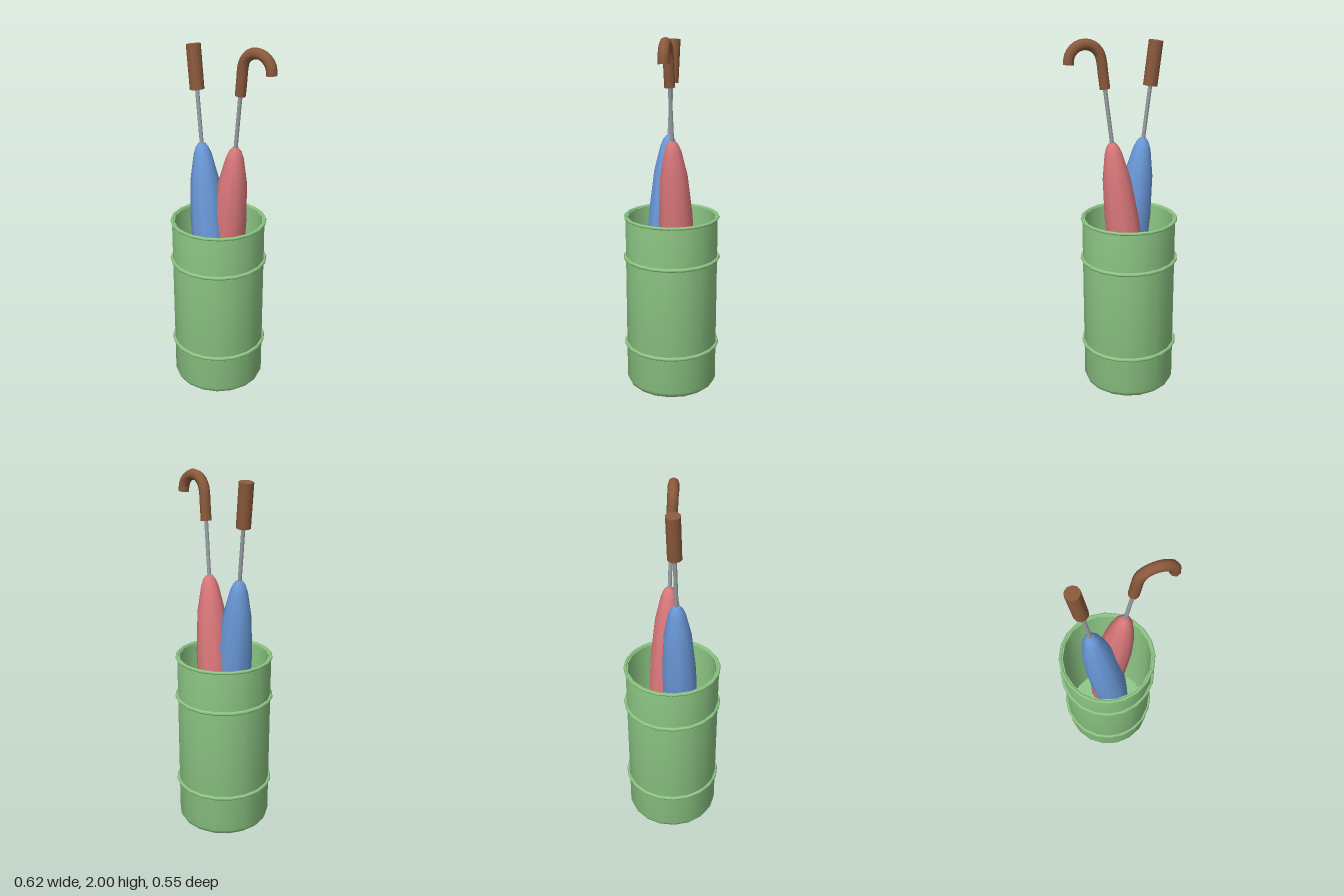
import * as THREE from 'three';
import { toCreasedNormals } from 'three/addons/utils/BufferGeometryUtils.js';

const material = (name, color) => {
  const m = new THREE.MeshStandardMaterial({ color });
  m.name = name;
  return m;
};

const lathe = (profile, sides, start = 0) => toCreasedNormals(
  new THREE.LatheGeometry(profile.map(([r, y]) => new THREE.Vector2(r, y)), sides, start), 0.75);

export function createModel() {
  const green = material('green enamel', 0x8fc986);
  const red = material('red fabric', 0xd9777a);
  const blue = material('blue fabric', 0x6a98d8);
  const brown = material('brown wood', 0x8b5a3c);
  const steel = material('grey steel', 0x9aa0a6);

  const add = (parent, name, geometry, mat, x = 0, y = 0, z = 0) => {
    const mesh = new THREE.Mesh(geometry, mat);
    mesh.name = name;
    mesh.position.set(x, y, z);
    parent.add(mesh);
    return mesh;
  };

  const model = new THREE.Group();
  model.name = 'umbrellaStand';

  // Hollow stand with a rounded foot, a rolled rim and two raised bands
  const stand = new THREE.Group();
  stand.name = 'stand';
  stand.position.x = -0.038;
  model.add(stand);
  add(stand, 'body', lathe([
    [0, 0.008], [0.218, 0.008], [0.222, 0], [0.237, 0], [0.252, 0.012], [0.262, 0.035],
    [0.262, 1.01], [0.248, 1.01], [0.248, 0.03], [0, 0.03],
  ], 18, Math.PI / 2), green);
  const ring = (name, y, radius, tube) => add(stand, name,
    new THREE.TorusGeometry(radius, tube, 6, 20).rotateX(Math.PI / 2), green, 0, y, 0);
  ring('rim', 1.009, 0.262, 0.009);
  ring('upperBand', 0.775, 0.265, 0.011);
  ring('lowerBand', 0.25, 0.265, 0.011);

  // Closed umbrella, built upright from its tip and then leaned sideways
  const canopyProfile = [
    [0, 0.1], [0.025, 0.1], [0.062, 0.25], [0.09, 0.45], [0.102, 0.68], [0.097, 1.0],
    [0.078, 1.23], [0.049, 1.37], [0.034, 1.41], [0.018, 1.43], [0, 1.432],
  ];
  const umbrella = (name, fabric, x, z, lean) => {
    const group = new THREE.Group();
    group.name = name;
    group.position.set(x, 0.03, z);
    group.rotation.z = lean;
    model.add(group);
    add(group, 'canopy', lathe(canopyProfile, 10), fabric);
    add(group, 'shaft', new THREE.CylinderGeometry(0.011, 0.011, 1.75, 8), steel, 0, 0.875, 0);
    return group;
  };
  const blueUmbrella = umbrella('blueUmbrella', blue, 0.05, 0.05, 0.12);
  const redUmbrella = umbrella('redUmbrella', red, -0.112, -0.042, -0.12);

  // Straight grip
  add(blueUmbrella, 'straightHandle',
    new THREE.CylinderGeometry(0.039, 0.039, 0.236, 10), brown, 0, 1.838, 0);

  // Crook grip: a short straight length followed by a half circle
  const crook = new THREE.Group();
  crook.name = 'crookHandle';
  crook.rotation.y = 0.26;
  redUmbrella.add(crook);
  const bend = 0.088, bendY = 1.875, grip = 0.029;
  const points = [new THREE.Vector3(0, 1.722, 0), new THREE.Vector3(0, 1.8, 0)];
  for (let i = 0; i <= 8; i++) {
    const a = Math.PI * (1 - i / 8);
    points.push(new THREE.Vector3(bend + bend * Math.cos(a), bendY + bend * Math.sin(a), 0));
  }
  add(crook, 'crook',
    new THREE.TubeGeometry(new THREE.CatmullRomCurve3(points), 20, grip, 8), brown);
  for (const [name, p] of [['crookBase', points[0]], ['crookTip', points[points.length - 1]]]) {
    add(crook, name, new THREE.CircleGeometry(grip, 8).rotateX(Math.PI / 2), brown, p.x, p.y, p.z);
  }

  return model;
}
